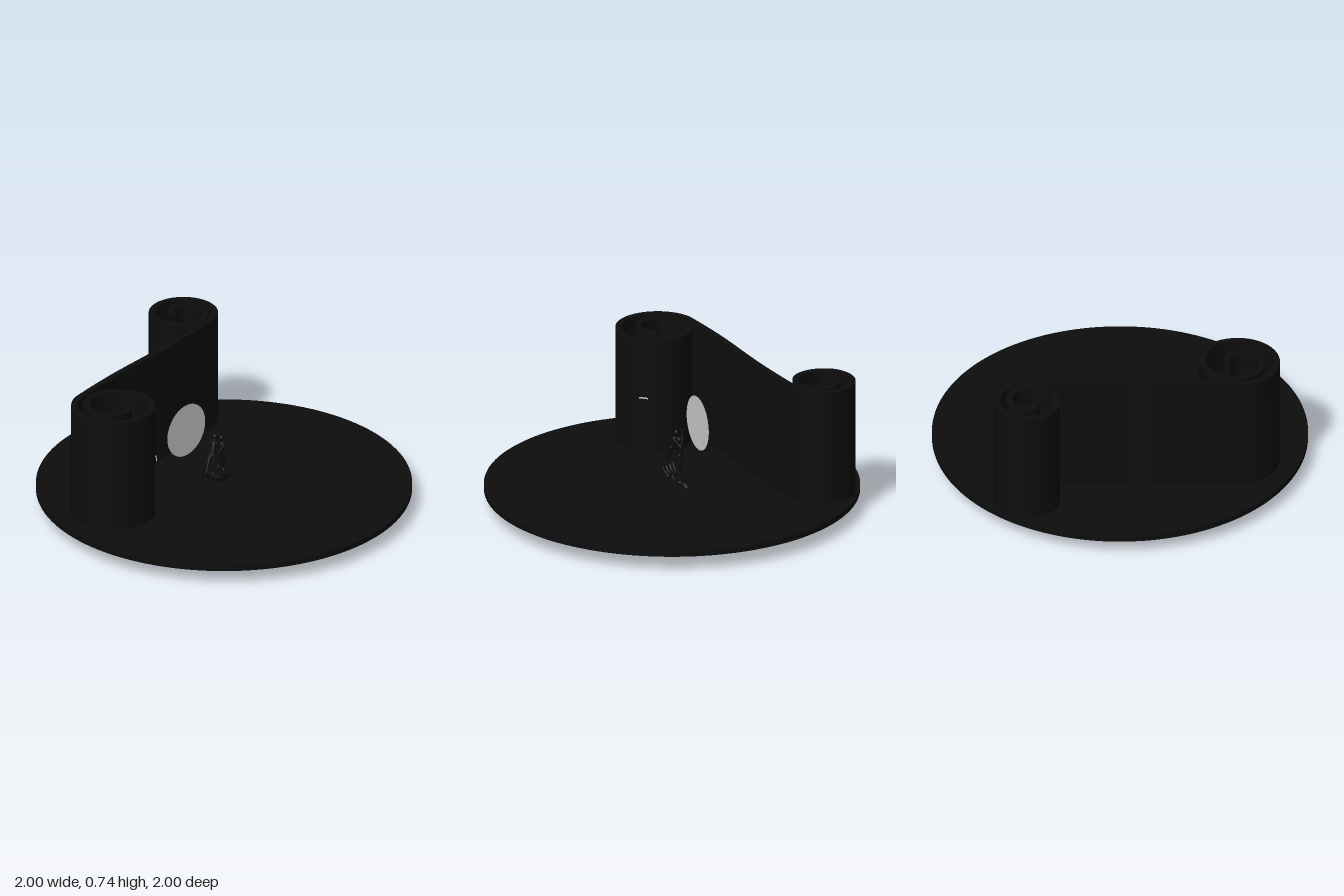
import * as THREE from 'three';
import { toCreasedNormals } from 'three/addons/utils/BufferGeometryUtils.js';

const black = new THREE.MeshStandardMaterial({ color: 0x0d0d0d });
const pale = new THREE.MeshStandardMaterial({ color: 0xcccccc, side: THREE.DoubleSide });
const V = (x, y, z) => new THREE.Vector3(x, y, z);

function add(parent, name, geo, mat = black) {
  const mesh = new THREE.Mesh(geo, mat);
  mesh.name = name;
  parent.add(mesh);
  return mesh;
}

// Tapered limb between two points, rounded at the joints
function limb(parent, name, a, b, ra, rb) {
  const dir = b.clone().sub(a);
  const geo = new THREE.CylinderGeometry(rb, ra, dir.length(), 12);
  const m = add(parent, name, geo);
  m.position.copy(a).add(b).multiplyScalar(0.5);
  m.quaternion.setFromUnitVectors(V(0, 1, 0), dir.normalize());
  add(parent, name + 'Joint', new THREE.SphereGeometry(rb, 12, 8)).position.copy(b);
}

// Limb through several points, each given as [x, y, z, radius]
function chain(parent, name, pts) {
  add(parent, name + 'Start', new THREE.SphereGeometry(pts[0][3], 12, 8)).position.set(...pts[0].slice(0, 3));
  for (let i = 1; i < pts.length; i++) {
    const [p, q] = [pts[i - 1], pts[i]];
    limb(parent, name, V(p[0], p[1], p[2]), V(q[0], q[1], q[2]), p[3], q[3]);
  }
}

// Centre line of a scroll, winding inwards from its tangent with the wall
function scroll(cx, cz, r, startDeg) {
  const pts = [];
  for (let s = 0; s <= 600; s += 20) {
    const rad = r * (1 - 0.65 * Math.max(0, s - 220) / 380);
    const a = THREE.MathUtils.degToRad(startDeg - s);
    pts.push(V(cx + rad * Math.cos(a), 0, cz + rad * Math.sin(a)));
  }
  return pts;
}

// S-shaped wall with a scroll at each end
function wallGeometry(thickness, height) {
  const path = new THREE.CatmullRomCurve3([
    ...scroll(-0.555, 0.393, 0.207, 217).reverse(),
    V(-0.585, 0, 0.04), V(-0.325, 0, -0.35),
    ...scroll(-0.283, -0.748, 0.167, 36),
  ]);
  const n = 360, left = [], right = [];
  for (let i = 0; i <= n; i++) {
    const p = path.getPointAt(i / n), t = path.getTangentAt(i / n);
    const ox = t.z * thickness / 2, oz = -t.x * thickness / 2;
    left.push(new THREE.Vector2(p.x + ox, -p.z - oz));
    right.push(new THREE.Vector2(p.x - ox, -p.z + oz));
  }
  const shape = new THREE.Shape([...left, ...right.reverse()]);
  const geo = new THREE.ExtrudeGeometry(shape, { depth: height, bevelEnabled: false });
  geo.rotateX(-Math.PI / 2);
  return toCreasedNormals(geo, 0.6);
}

// Forearm rising through the floor, with an open hand
function handSculpture() {
  const g = new THREE.Group();
  g.name = 'hand';
  chain(g, 'forearm', [[0.076, 0.033, -0.212, 0.032], [0.035, 0.075, -0.14, 0.025], [0.0, 0.115, -0.08, 0.02]]);
  const palm = add(g, 'palm', new THREE.SphereGeometry(1, 20, 12));
  palm.scale.set(0.042, 0.02, 0.06);
  palm.position.set(-0.03, 0.14, -0.02);
  palm.rotation.set(-0.35, -0.5, 0);
  chain(g, 'thumb', [[0.0, 0.13, -0.045, 0.012], [0.015, 0.155, -0.03, 0.009], [0.014, 0.188, -0.03, 0.006]]);
  for (let i = 0; i < 4; i++) {
    const x = -0.078 + i * 0.017, z = 0.012 + i * 0.011;
    chain(g, 'finger', [
      [x + 0.015, 0.145, z - 0.015, 0.011],
      [x - 0.004, 0.165, z + 0.018, 0.009],
      [x - 0.012, 0.195 - i * 0.006, z + 0.03, 0.006],
    ]);
  }
  return g;
}

// Standing figure: feet, hips, chest and head positions plus two hand targets
function figure(name, feet, hips, chest, head, hands) {
  const g = new THREE.Group();
  g.name = name;
  chain(g, 'torso', [[...hips, 0.014], [...chest, 0.017]]);
  chain(g, 'neck', [[...chest, 0.008], [...head, 0.006]]);
  const skull = add(g, 'head', new THREE.SphereGeometry(0.014, 16, 12));
  skull.position.set(...head);
  skull.scale.y = 1.25;
  feet.forEach((f, i) => {
    const s = i ? 0.008 : -0.008;
    const knee = f.map((v, k) => (v + hips[k]) / 2 + (k === 0 ? s * 0.7 : 0));
    chain(g, 'leg', [[hips[0] + s, hips[1], hips[2], 0.012], [...knee, 0.009], [...f, 0.005]]);
    chain(g, 'foot', [[...f, 0.006], [f[0] + s * 0.5, f[1] - 0.008, f[2] + 0.012, 0.004]]);
  });
  hands.forEach((h, i) => {
    const s = i ? 0.016 : -0.016;
    const shoulder = [chest[0] + s, chest[1] + 0.008, chest[2]];
    const elbow = h.map((v, k) => (v + shoulder[k]) / 2 + (k === 0 ? s * 0.4 : 0));
    chain(g, 'arm', [[...shoulder, 0.007], [...elbow, 0.006], [...h, 0.004]]);
  });
  return g;
}

export function createModel() {
  const model = new THREE.Group();
  model.name = 'stageSet';

  add(model, 'floor', new THREE.CylinderGeometry(1, 1, 0.03, 128)).position.y = 0.1;
  add(model, 'scrollWall', wallGeometry(0.035, 0.632)).position.y = 0.113;

  // Pale disc floating parallel to the wall
  const moon = add(model, 'moonDisc', new THREE.CircleGeometry(0.148, 64), pale);
  moon.position.set(-0.205, 0.396, -0.043);
  moon.rotation.y = Math.atan2(0.79, 0.61);

  // Small plaque on the front scroll
  const plaque = add(model, 'plaque', new THREE.BoxGeometry(0.004, 0.007, 0.05), pale);
  plaque.position.set(-0.33, 0.421, 0.355);
  plaque.rotation.y = 0.17;

  // Pair of figures standing on the hand
  model.add(handSculpture());
  model.add(figure('leaningFigure',
    [[-0.085, 0.215, 0.075], [-0.055, 0.2, 0.06]],
    [-0.06, 0.295, 0.035], [-0.052, 0.35, 0.013], [-0.048, 0.387, 0.0],
    [[-0.045, 0.33, -0.02], [-0.025, 0.335, -0.025]]));
  model.add(figure('uprightFigure',
    [[-0.032, 0.2, -0.035], [-0.008, 0.18, -0.045]],
    [-0.02, 0.275, -0.04], [-0.018, 0.325, -0.038], [-0.016, 0.362, -0.034],
    [[-0.05, 0.408, -0.032], [-0.02, 0.31, 0.005]]));
  return model;
}
